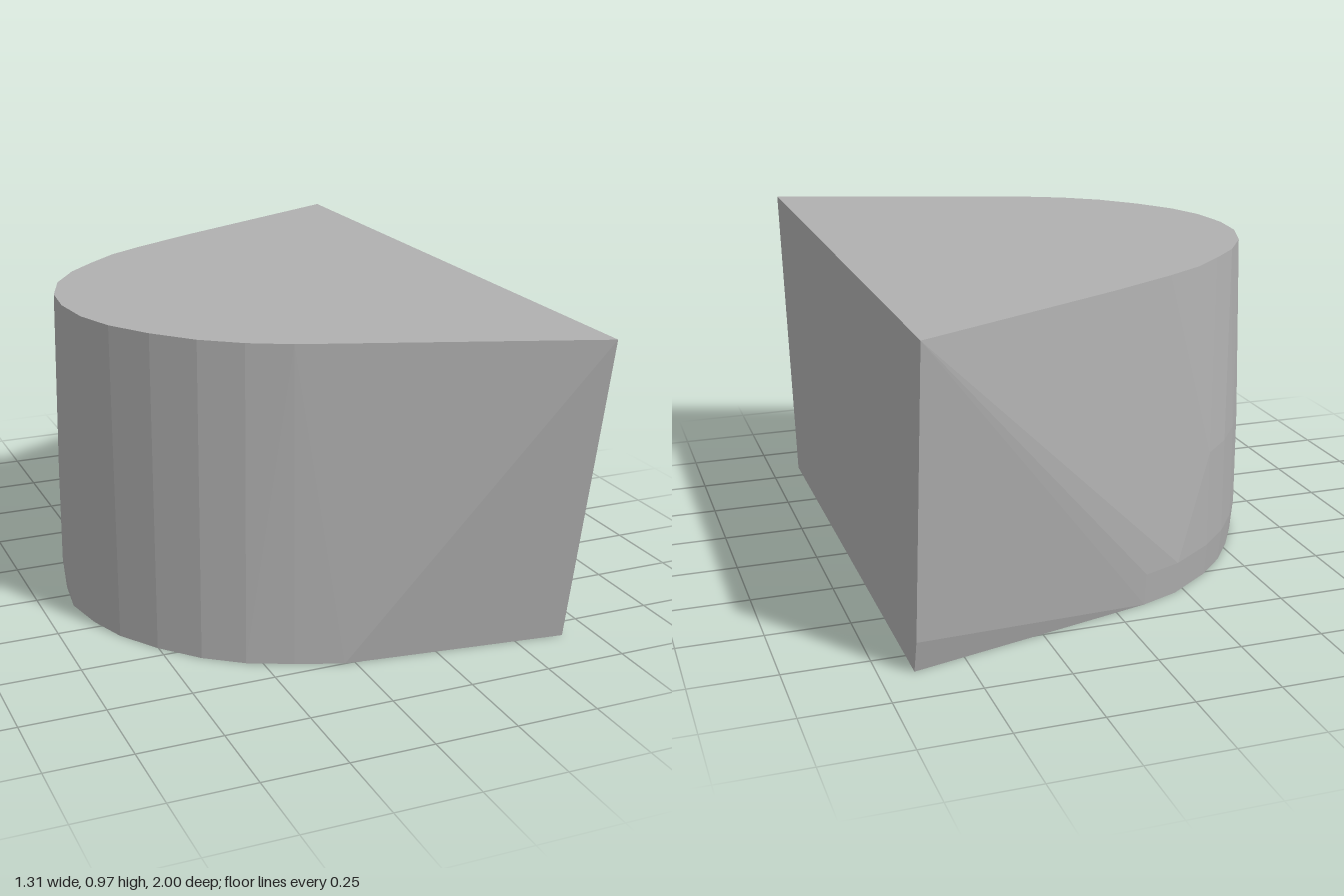
import * as THREE from 'three';
import { ConvexGeometry } from 'three/addons/geometries/ConvexGeometry.js';

export function createModel() {
  const group = new THREE.Group();
  const grey = new THREE.MeshStandardMaterial({ color: 0xb0b0b0 });
  grey.name = 'plain grey';

  // [x, z] outline of the rounded nose, shared by the top and bottom
  const nose = [
    [-0.3, 0.65], [-0.41, 0.57], [-0.51, 0.46], [-0.59, 0.34], [-0.635, 0.22], [-0.652, 0.08],
  ];
  // Rear curve at the top rim, and the slightly fuller one below it
  const rearTop = [
    [-0.64, -0.05], [-0.59, -0.19], [-0.51, -0.31], [-0.42, -0.4], [-0.32, -0.49],
    [-0.2, -0.565], [0.03, -0.69],
  ];
  const rearLow = [
    [-0.645, -0.06], [-0.6, -0.2], [-0.53, -0.32], [-0.45, -0.43], [-0.36, -0.52],
    [-0.22, -0.62], [-0.1, -0.668],
  ];

  const points = [];
  const addRing = (y, outline, scale = 1) => {
    for (const [x, z] of outline) points.push(new THREE.Vector3(x * scale, y, z * scale));
  };

  // Top rim
  addRing(0.97, [[0.652, 1], [-0.18, 0.71], ...nose, ...rearTop, [0.652, -1]]);
  // Fuller waist on the rear of the nose
  addRing(0.4, rearLow.slice(0, 5));
  // Small chamfer above the base
  addRing(0.1, [...rearLow, [0.652, -0.88]], 1);
  points[points.length - 1].x = 0.652;
  // Base
  addRing(0, [[-0.17, 0.708], ...nose, ...rearLow], 0.985);
  addRing(0, [[0.652, 0.83], [-0.03, 0.75], [0.652, -0.85], [-0.653, 0.08]]);

  const block = new THREE.Mesh(new ConvexGeometry(points), grey);
  block.name = 'roundedBlock';
  group.add(block);
  return group;
}
